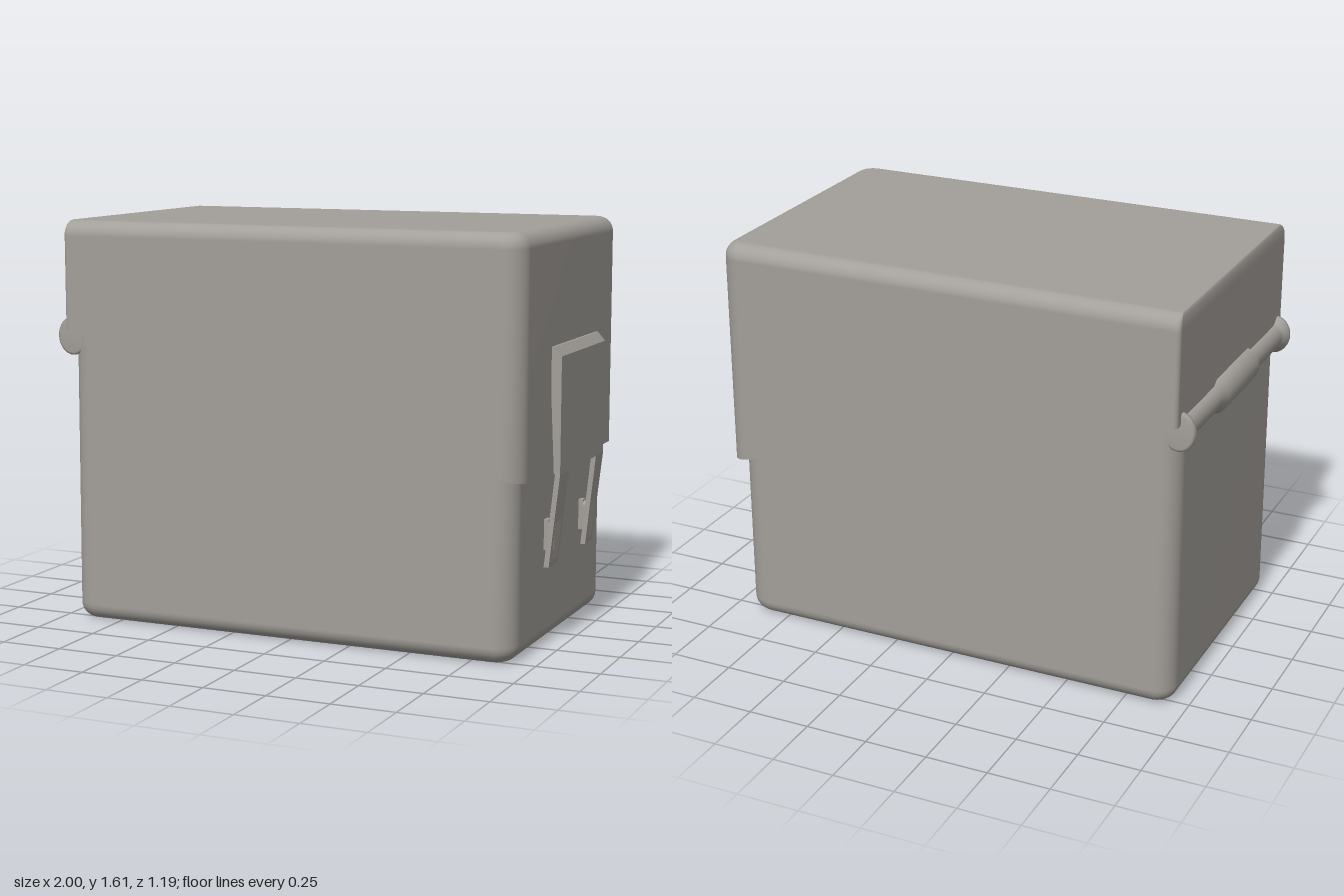
import * as THREE from 'three';

const grey = new THREE.MeshStandardMaterial({ color: 0xa39f9a });
grey.name = 'warm grey plastic';

// height of the slanted seam between body and lid
const seam = (x) => 1.18 - 0.49 * (x + 0.945) / 1.905;

// rounded rectangle in the ground plane; yAt gives the height for each x
function ring(x0, x1, z, rLeft, rRight, yAt) {
  const corners = [
    [x1 - rRight, -z + rRight, rRight, 0], [x0 + rLeft, -z + rLeft, rLeft, 1],
    [x0 + rLeft, z - rLeft, rLeft, 2], [x1 - rRight, z - rRight, rRight, 3],
  ];
  const points = [];
  for (const [cx, cz, r, quarter] of corners) {
    for (let i = 0; i <= 8; i++) {
      const a = (quarter + i / 8) * Math.PI / 2;
      const x = cx + r * Math.cos(a);
      points.push([x, yAt(x), cz - r * Math.sin(a)]);
    }
  }
  return points;
}

// skin over a stack of rings, optionally capped at its ends
function loft(rings, capBottom, capTop) {
  const n = rings[0].length, pos = rings.flat(2), index = [];
  for (let k = 0; k < rings.length - 1; k++) {
    for (let i = 0; i < n; i++) {
      const a = k * n + i, b = k * n + (i + 1) % n;
      index.push(a, b, b + n, a, b + n, a + n);
    }
  }
  const cap = (k, up) => {
    const center = pos.length / 3;
    pos.push(...[0, 1, 2].map((c) => rings[k].reduce((s, p) => s + p[c], 0) / n));
    for (let i = 0; i < n; i++) {
      const a = k * n + i, b = k * n + (i + 1) % n;
      index.push(center, ...(up ? [a, b] : [b, a]));
    }
  };
  if (capBottom) cap(0, false);
  if (capTop) cap(rings.length - 1, true);
  const g = new THREE.BufferGeometry();
  g.setAttribute('position', new THREE.Float32BufferAttribute(pos, 3));
  g.setIndex(index);
  g.computeVertexNormals();
  return g;
}

function add(parent, name, geometry) {
  const mesh = new THREE.Mesh(geometry, grey);
  mesh.name = name;
  parent.add(mesh);
  return mesh;
}

// rectangle-like path from four [u, y] corners
const path = (Type, pts) => new Type(pts.map(([u, y]) => new THREE.Vector2(u, y)));

export function createModel() {
  const model = new THREE.Group();
  model.name = 'hinged box';

  // body: rounded bottom edge, slanted top hidden under the lid
  const body = [];
  const r = 0.065;
  for (let i = 0; i <= 8; i++) {
    const a = i / 8 * Math.PI / 2, d = r * (1 - Math.sin(a));
    body.push(ring(-0.943 + d, 0.925 - d, 0.565 - d, 0.085 - d, 0.095 - d, () => r * (1 - Math.cos(a))));
  }
  body.push(ring(-0.938, 0.925, 0.565, 0.085, 0.095, (x) => seam(x) + 0.03));
  add(model, 'body', loft(body, true, false));

  // lid: soft edges everywhere except the crisp hinge side
  const lid = [ring(-0.945, 0.96, 0.595, 0.02, 0.09, seam)];
  const t = 0.06;
  for (let i = 0; i <= 8; i++) {
    const a = i / 8 * Math.PI / 2, d = t * (1 - Math.cos(a));
    lid.push(ring(-0.945 + d * 0.2, 0.96 - d, 0.595 - d, 0.02 - d * 0.2, 0.09 - d, () => 1.61 - t + t * Math.sin(a)));
  }
  add(model, 'lid', loft(lid, false, true));

  // lid rim: underside lip closing onto the body
  add(model, 'lidRim', loft([
    ring(-0.925, 0.92, 0.555, 0.08, 0.09, seam),
    ring(-0.945, 0.96, 0.595, 0.02, 0.09, seam),
  ], false, false));

  // hinge bar with flared ends and a thicker middle
  const half = [[0.06, 0], [0.06, 0.175], [0.044, 0.205], [0.044, 0.49], [0.05, 0.51], [0.065, 0.53], [0.065, 0.548], [0.056, 0.555], [0, 0.555]];
  const profile = [...half.slice(1).reverse().map(([a, z]) => [a, -z]), ...half];
  const bar = new THREE.LatheGeometry(profile.map(([a, z]) => new THREE.Vector2(a, z)), 32);
  bar.rotateX(Math.PI / 2);
  bar.scale(1, 1.18, 1);
  add(model, 'hingeBar', bar).position.set(-0.935, 1.15, 0);

  // latch plate: side profile extruded along z
  const latch = new THREE.Group();
  latch.name = 'latch';
  model.add(latch);
  const side = path(THREE.Shape, [[0.955, 1.165], [0.955, 1.1], [0.975, 0.68], [1, 0.68], [1, 1.13], [0.97, 1.165]]);
  add(latch, 'latchPlate', new THREE.ExtrudeGeometry(side, { depth: 0.55, bevelEnabled: false }))
    .position.z = -0.305;

  // latch legs: slotted strips leaning inward toward the body
  const legs = [
    { outline: [[0.255, 0.32], [0.245, 0.68], [0.135, 0.68], [0.145, 0.32]], slot: [0.158, 0.228], hook: 0.185 },
    { outline: [[-0.205, 0.32], [-0.21, 0.68], [-0.305, 0.68], [-0.29, 0.32]], slot: [-0.275, -0.222], hook: -0.248 },
  ];
  for (const { outline, slot: [z0, z1], hook } of legs) {
    const shape = path(THREE.Shape, outline.map(([z, y]) => [-z, y]));
    shape.holes.push(path(THREE.Path, [[-z0, 0.345], [-z1, 0.345], [-z1, 0.495], [-z0, 0.495]]));
    const g = new THREE.ExtrudeGeometry(shape, { depth: 0.02, bevelEnabled: false });
    g.rotateY(Math.PI / 2);
    const p = g.attributes.position;
    for (let i = 0; i < p.count; i++) p.setX(i, p.getX(i) + 0.98 - (0.68 - p.getY(i)) / 0.36 * 0.037);
    g.computeVertexNormals();
    add(latch, 'latchLeg', g);

    // catch hook on the body, poking through the slot
    const catchHook = add(model, 'catchHook', new THREE.CapsuleGeometry(0.02, 0.09, 6, 16));
    catchHook.position.set(0.945, 0.425, hook);
    catchHook.rotation.z = -0.06;
    add(model, 'catchBase', new THREE.BoxGeometry(0.03, 0.12, 0.036)).position.set(0.928, 0.435, hook);
  }
  return model;
}
